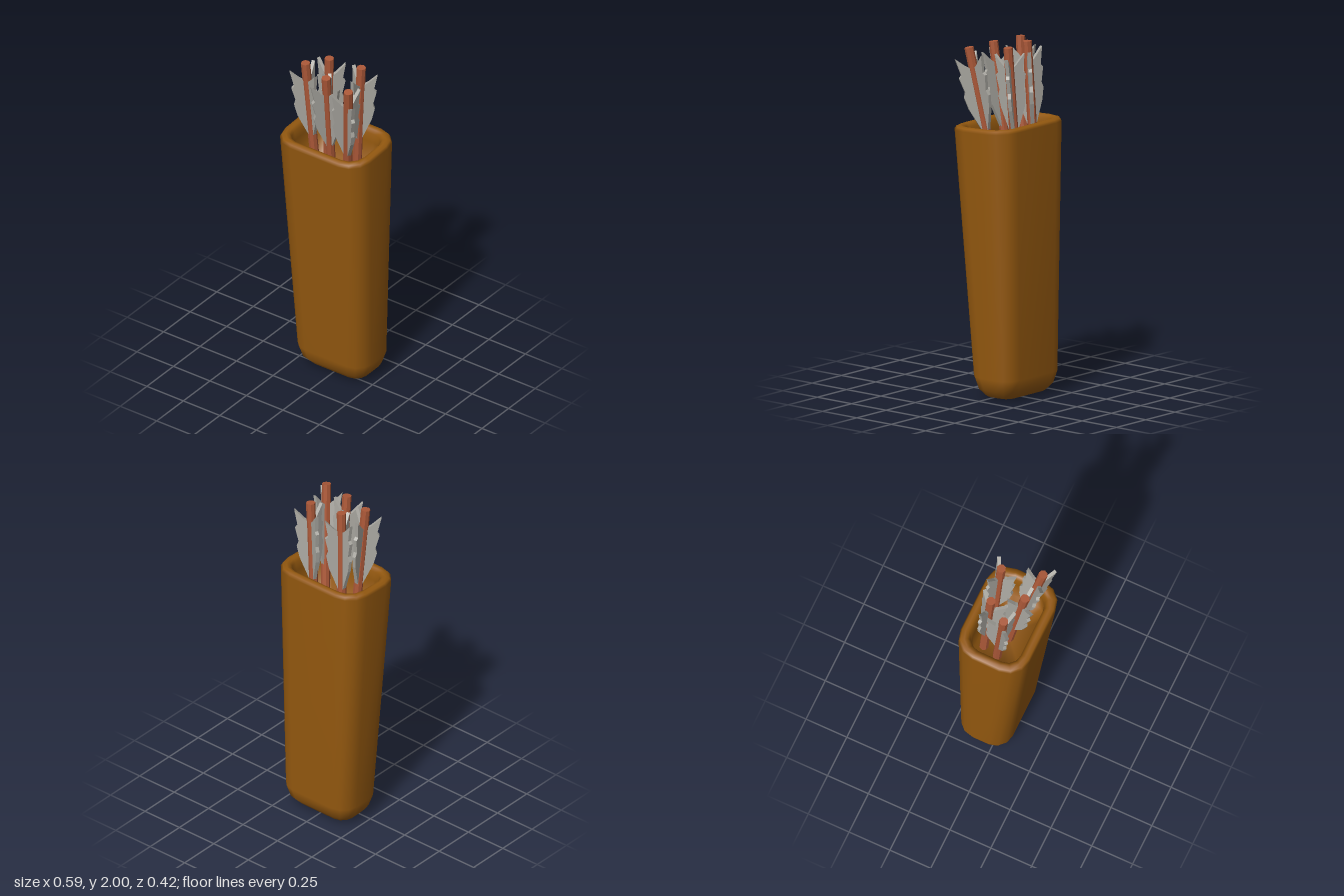
import * as THREE from 'three';

const leather = new THREE.MeshStandardMaterial({ name: 'brown leather', color: 0x93580f });
const wood = new THREE.MeshStandardMaterial({ name: 'red wood', color: 0xab5838, flatShading: true });
const feather = new THREE.MeshStandardMaterial({ name: 'grey feather', color: 0xaaa8a1, flatShading: true });

// Rounded rectangle in plan: half width, back z, front z, corner radius
function ring(y, hw, zb, zf, r, tilt = 0) {
  const pts = [];
  const corners = [[1, 1], [-1, 1], [-1, -1], [1, -1]];
  corners.forEach(([sx, sz], k) => {
    for (let i = 0; i < 4; i++) {
      const a = (k + i / 3) * Math.PI / 2;
      const x = sx * (hw - r) + r * Math.cos(a);
      const z = (sz > 0 ? zf - r : zb + r) + r * Math.sin(a);
      pts.push([x, y - tilt * z, z]);
    }
  });
  return pts;
}

// Skin a stack of rings, closing both ends with a fan
function loft(rings) {
  const n = rings[0].length, pos = rings.flat(2), idx = [];
  for (let i = 0; i < rings.length - 1; i++) {
    for (let j = 0; j < n; j++) {
      const a = i * n + j, b = i * n + (j + 1) % n;
      idx.push(a, a + n, b, b, a + n, b + n);
    }
  }
  const cap = (i, flip) => {
    const c = pos.length / 3;
    pos.push(...[0, 1, 2].map(k => rings[i].reduce((s, p) => s + p[k], 0) / n));
    for (let j = 0; j < n; j++) {
      const a = i * n + j, b = i * n + (j + 1) % n;
      idx.push(c, ...(flip ? [b, a] : [a, b]));
    }
  };
  cap(0, false);
  cap(rings.length - 1, true);
  const g = new THREE.BufferGeometry();
  g.setAttribute('position', new THREE.Float32BufferAttribute(pos, 3));
  g.setIndex(idx);
  g.computeVertexNormals();
  return g;
}

function makeQuiver() {
  // Rounded base and tapering body
  const rings = [
    ring(0.0, 0.12, -0.1, -0.005, 0.045),
    ring(0.018, 0.185, -0.15, 0.04, 0.07),
    ring(0.06, 0.222, -0.188, 0.078, 0.09),
    ring(0.13, 0.243, -0.207, 0.098, 0.1),
  ];
  // Rolled rim, inner wall and shallow floor: height and inset
  const rim = [[1.53, 0], [1.545, 0.01], [1.552, 0.03], [1.548, 0.046], [1.53, 0.06], [1.48, 0.069], [1.31, 0.074]];
  for (const [y, d] of rim) {
    rings.push(ring(y, 0.294 - d, -0.211 + d, 0.213 - d, 0.13 - d * 0.8, y > 1.4 ? 0.05 : 0));
  }
  const mesh = new THREE.Mesh(loft(rings), leather);
  mesh.name = 'quiverBody';
  return mesh;
}

// Serrated vane outline: distance from shaft axis, height below the nock
const vaneShape = new THREE.Shape([
  [0, -0.13], [0.04, -0.1], [0.092, -0.045], [0.076, -0.145], [0.091, -0.16], [0.074, -0.245],
  [0.085, -0.275], [0.072, -0.345], [0.022, -0.48], [0, -0.49],
].reverse().map(p => new THREE.Vector2(...p)));
const vaneGeo = new THREE.ExtrudeGeometry(vaneShape, { depth: 0.02, bevelEnabled: false }).translate(0, 0, -0.01);

function makeArrow(top, foot, angle) {
  const arrow = new THREE.Group();
  arrow.name = 'arrow';
  const dir = top.clone().sub(foot);
  const length = dir.length();
  const shaft = new THREE.Mesh(new THREE.CylinderGeometry(0.026, 0.026, length, 8).translate(0, -length / 2, 0), wood);
  shaft.name = 'arrowShaft';
  arrow.add(shaft);
  for (let i = 0; i < 3; i++) {
    const vane = new THREE.Mesh(vaneGeo, feather);
    vane.name = 'arrowVane';
    vane.rotation.y = -THREE.MathUtils.degToRad(angle + i * 120);
    arrow.add(vane);
  }
  arrow.position.copy(top);
  arrow.quaternion.setFromUnitVectors(new THREE.Vector3(0, 1, 0), dir.normalize());
  return arrow;
}

export function createModel() {
  const model = new THREE.Group();
  model.name = 'quiverWithArrows';
  model.add(makeQuiver());
  // Nock x, y, z, foot x, z, angle of first vane
  const arrows = [
    [-0.17, 1.998, 0.055, -0.14, 0.0, 20],
    [-0.091, 1.998, -0.06, -0.12, -0.09, -46],
    [0.006, 1.99, 0.102, -0.018, 0.015, 6],
    [0.107, 1.997, -0.09, 0.06, -0.112, -32],
    [0.18, 1.98, 0.132, 0.095, 0.022, 35],
  ];
  for (const [x, y, z, fx, fz, a] of arrows) {
    model.add(makeArrow(new THREE.Vector3(x, y, z), new THREE.Vector3(fx, 1.3, fz), a));
  }
  return model;
}
